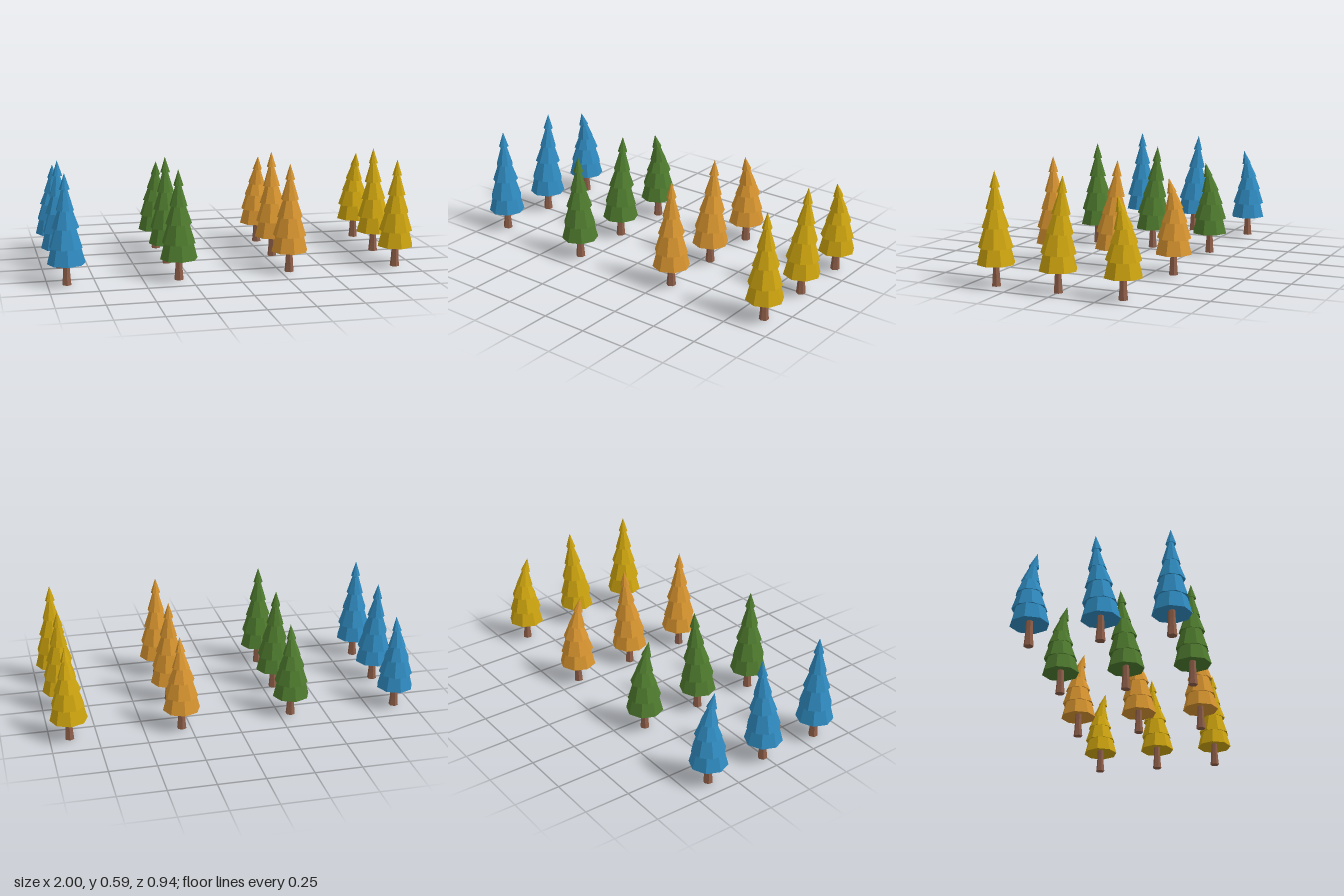
import * as THREE from 'three';

const SIDES = 8;

// Skirts from bottom to top: hem radius, top radius, height
const TIERS = [
  { hem: 0.1, top: 0.074, h: 0.1 },
  { hem: 0.09, top: 0.054, h: 0.115 },
  { hem: 0.071, top: 0.036, h: 0.1 },
  { hem: 0.048, top: 0.015, h: 0.112 },
  { hem: 0.027, top: 0, h: 0.085 },
];

// Per row: [hem height, z shift, tilt] of each skirt
const POSES = {
  straight: [[0.115, 0, 0], [0.2, 0, 0], [0.303, 0, 0], [0.397, 0, 0], [0.505, 0, 0]],
  leaning: [[0.115, 0, 0], [0.2, -0.003, -0.04], [0.303, -0.011, -0.06], [0.397, -0.019, -0.06], [0.505, -0.025, -0.06]],
  bent: [[0.115, 0, 0], [0.197, -0.002, -0.02], [0.284, -0.005, 0], [0.352, -0.002, 0.13], [0.437, 0.012, 0.22]],
};

function material(name, color) {
  const m = new THREE.MeshStandardMaterial({ color, flatShading: true });
  m.name = name;
  return m;
}

function lathe(profile, sides) {
  return new THREE.LatheGeometry(profile.map(([r, y]) => new THREE.Vector2(r, y)), sides);
}

// Skirt with a hollowed underside and a faceted slope
function tierGeometry({ hem, top, h }) {
  return lathe([[0.008, 0.022], [hem, 0], [top, h], [0, h + 0.0005]], SIDES);
}

// Trunk flaring at the foot, with shallow ridges
function trunkGeometry() {
  const geo = lathe([[0, 0], [0.024, 0], [0.02, 0.045], [0.0175, 0.09], [0.016, 0.15]], 12);
  const p = geo.attributes.position;
  for (let i = 0; i < p.count; i++) {
    const angle = Math.atan2(p.getX(i), p.getZ(i));
    const ridge = 1 + 0.07 * Math.cos(angle * 6);
    p.setXYZ(i, p.getX(i) * ridge, p.getY(i), p.getZ(i) * ridge);
  }
  return geo;
}

export function createModel() {
  const model = new THREE.Group();
  model.name = 'treeGrove';

  const bark = material('bark brown', 0x8f5f49);
  const columns = [
    { name: 'blueTree', x: -0.9, z: [0.337, -0.012, -0.367], mat: material('blue foliage', 0x2f8abf) },
    { name: 'greenTree', x: -0.313, z: [0.366, 0.012, -0.341], mat: material('green foliage', 0x4e7a2e) },
    { name: 'orangeTree', x: 0.298, z: [0.337, -0.018, -0.371], mat: material('orange foliage', 0xd6932f) },
    { name: 'yellowTree', x: 0.895, z: [0.352, -0.001, -0.355], mat: material('yellow foliage', 0xcca30f) },
  ];
  const poses = [POSES.straight, POSES.leaning, POSES.bent];
  const tierGeos = TIERS.map(tierGeometry);
  const trunkGeo = trunkGeometry();

  for (const { name, x, z, mat } of columns) {
    poses.forEach((pose, row) => {
      const tree = new THREE.Group();
      tree.name = name + (row + 1);
      tree.position.set(x, 0, z[row]);

      const trunk = new THREE.Mesh(trunkGeo, bark);
      trunk.name = 'trunk';
      tree.add(trunk);

      // Foliage skirts, each following the bend of its tree
      pose.forEach(([y, shift, tilt], i) => {
        const skirt = new THREE.Mesh(tierGeos[i], mat);
        skirt.name = 'foliageTier' + (i + 1);
        skirt.position.set(0, y, shift);
        skirt.rotation.set(tilt, (i % 2) * Math.PI / SIDES, 0);
        // Upper skirts of the bent tree are shorter
        if (pose === POSES.bent) skirt.scale.y = [1, 0.93, 0.84, 0.86, 0.92][i];
        tree.add(skirt);
      });
      model.add(tree);
    });
  }
  return model;
}
